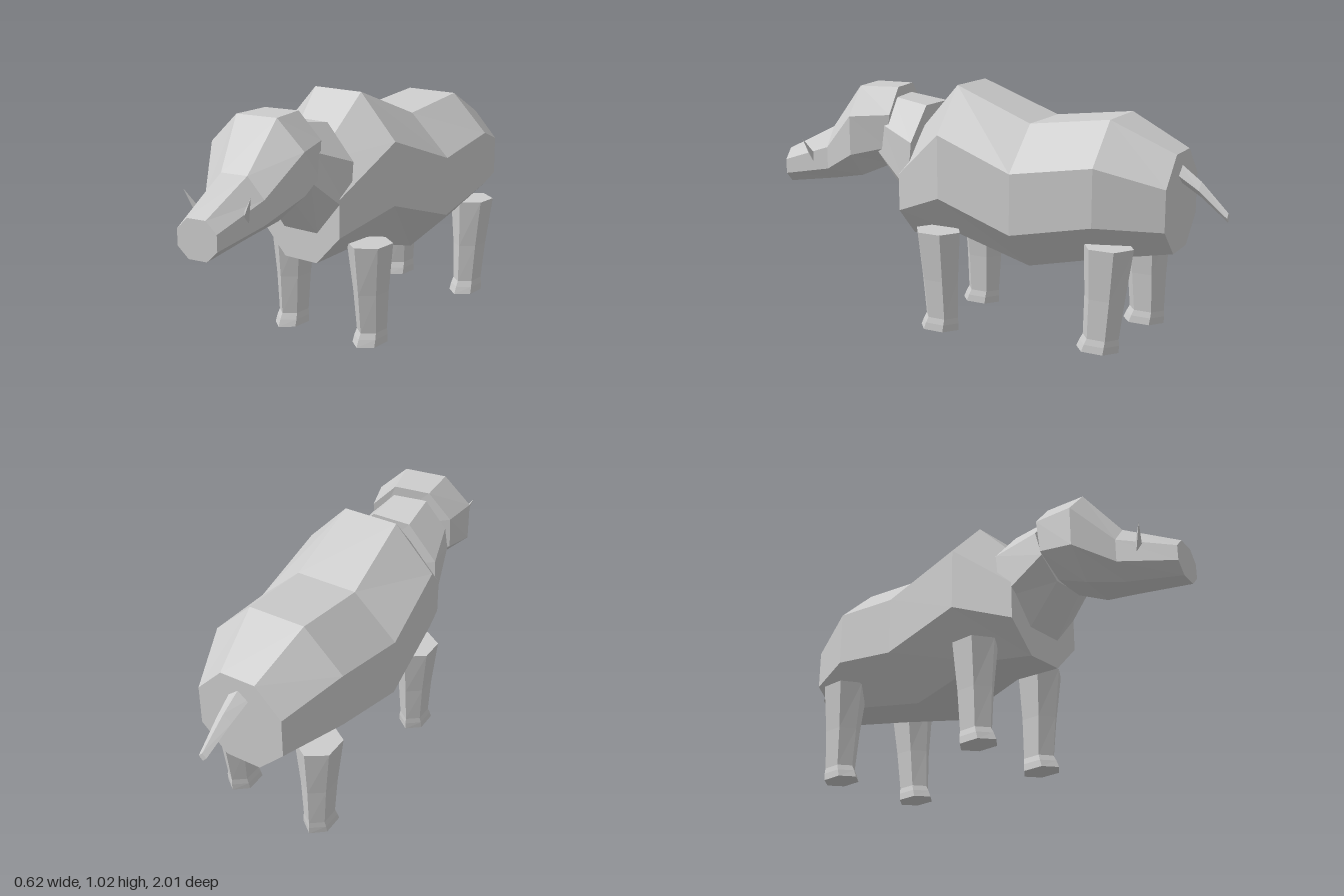
import * as THREE from 'three';

const hide = new THREE.MeshStandardMaterial({ color: 0xcccccc });
hide.name = 'grey hide';
hide.flatShading = true;

// Closed, faceted skin through rings of equal point count
// (each ring runs counter-clockwise seen from the end of the path).
function loft(name, rings) {
  const n = rings[0].length, index = [];
  for (let r = 0; r < rings.length - 1; r++) {
    for (let i = 0; i < n; i++) {
      const a = r * n + i, b = r * n + (i + 1) % n;
      index.push(a, b, b + n, a, b + n, a + n);
    }
  }
  const last = (rings.length - 1) * n;
  for (let i = 1; i < n - 1; i++) {
    index.push(0, i + 1, i, last, last + i, last + i + 1);
  }
  const indexed = new THREE.BufferGeometry();
  indexed.setAttribute('position', new THREE.Float32BufferAttribute(rings.flat(2), 3));
  indexed.setIndex(index);
  const geometry = indexed.toNonIndexed();
  geometry.computeVertexNormals();
  const mesh = new THREE.Mesh(geometry, hide);
  mesh.name = name;
  return mesh;
}

// Eight-sided section: half width, half width of the flat top and bottom,
// four heights from top to bottom, and one z (or one z per height).
function octagon(w, t, y, z) {
  const zs = Array.isArray(z) ? z : [z, z, z, z];
  const p = (x, k) => [x, y[k], zs[k]];
  return [p(w, 2), p(w, 1), p(t, 0), p(-t, 0), p(-w, 1), p(-w, 2), p(-t, 3), p(t, 3)];
}

// Six-sided horizontal section with a corner facing forward
function hexagon(x, y, z, halfX, halfZ) {
  return Array.from({ length: 6 }, (_, i) => {
    const a = i * Math.PI / 3 + Math.PI / 2;
    return [x + Math.cos(a) * halfX / 0.866, y, z - Math.sin(a) * halfZ];
  });
}

function leg(name, side, base, height, topZ, footZ) {
  const x = side * 0.203, midZ = (topZ + footZ) / 2;
  return loft(name, [
    hexagon(x, base, footZ + 0.013, 0.056, 0.09),
    hexagon(x, base + 0.03, footZ + 0.006, 0.054, 0.084),
    hexagon(x, base + 0.055, footZ, 0.049, 0.076),
    hexagon(x, base + 0.22, midZ, 0.058, 0.085),
    hexagon(x, height, topZ, 0.078, 0.103),
  ]);
}

export function createModel() {
  const model = new THREE.Group();
  model.name = 'animal';

  // Barrel body, rump to chest
  model.add(loft('body', [
    octagon(0.185, 0.075, [0.81, 0.695, 0.53, 0.42], -0.805),
    octagon(0.285, 0.12, [0.93, 0.77, 0.54, 0.38], -0.55),
    octagon(0.312, 0.13, [0.89, 0.72, 0.475, 0.305], -0.215),
    octagon(0.288, 0.118, [1.02, 0.84, 0.58, 0.395], 0.12),
    octagon(0.2, 0.082, [0.77, 0.64, 0.485, 0.362], 0.36),
  ]));

  // Neck, flaring backwards into a collar
  model.add(loft('neck', [
    octagon(0.213, 0.085, [0.92, 0.78, 0.58, 0.48], [0.29, 0.29, 0.31, 0.355]),
    octagon(0.168, 0.072, [0.945, 0.84, 0.73, 0.65], [0.46, 0.46, 0.49, 0.49]),
  ]));

  // Head with snout and tusks, turned a little to its left
  const head = new THREE.Group();
  head.name = 'head';
  head.position.set(-0.008, 0, 0.45);
  head.rotation.y = 0.15;
  head.add(loft('skull', [
    octagon(0.175, 0.076, [0.985, 0.88, 0.74, 0.65], [0, 0, 0.015, 0.04]),
    octagon(0.207, 0.09, [0.985, 0.87, 0.705, 0.595], 0.17),
    octagon(0.13, 0.058, [0.795, 0.715, 0.62, 0.565], 0.32),
    octagon(0.086, 0.04, [0.682, 0.638, 0.575, 0.532], 0.55),
  ]));
  for (const side of [1, -1]) {
    const from = new THREE.Vector3(side * 0.1, 0.655, 0.4);
    const to = new THREE.Vector3(side * 0.148, 0.75, 0.43);
    const tusk = new THREE.Mesh(new THREE.ConeGeometry(0.018, from.distanceTo(to), 4), hide);
    tusk.name = side > 0 ? 'leftTusk' : 'rightTusk';
    tusk.position.copy(from).lerp(to, 0.5);
    tusk.quaternion.setFromUnitVectors(new THREE.Vector3(0, 1, 0), to.clone().sub(from).normalize());
    head.add(tusk);
  }
  model.add(head);

  // Tail, from tip to root
  const tailRing = (x, y, z, w, h) => [[x + w, y, z], [x, y + h, z], [x - w, y, z], [x, y - h, z]];
  model.add(loft('tail', [
    tailRing(0.027, 0.577, -1.0, 0.017, 0.018),
    tailRing(0.01, 0.672, -0.885, 0.033, 0.03),
    tailRing(0, 0.732, -0.79, 0.045, 0.036),
  ]));

  // Legs in mid-step
  model.add(
    leg('leftFrontLeg', 1, 0, 0.425, 0.17, 0.155),
    leg('rightFrontLeg', -1, 0, 0.425, 0.17, 0.175),
    leg('leftHindLeg', 1, 0.03, 0.455, -0.59, -0.565),
    leg('rightHindLeg', -1, 0.03, 0.455, -0.595, -0.605),
  );
  return model;
}
